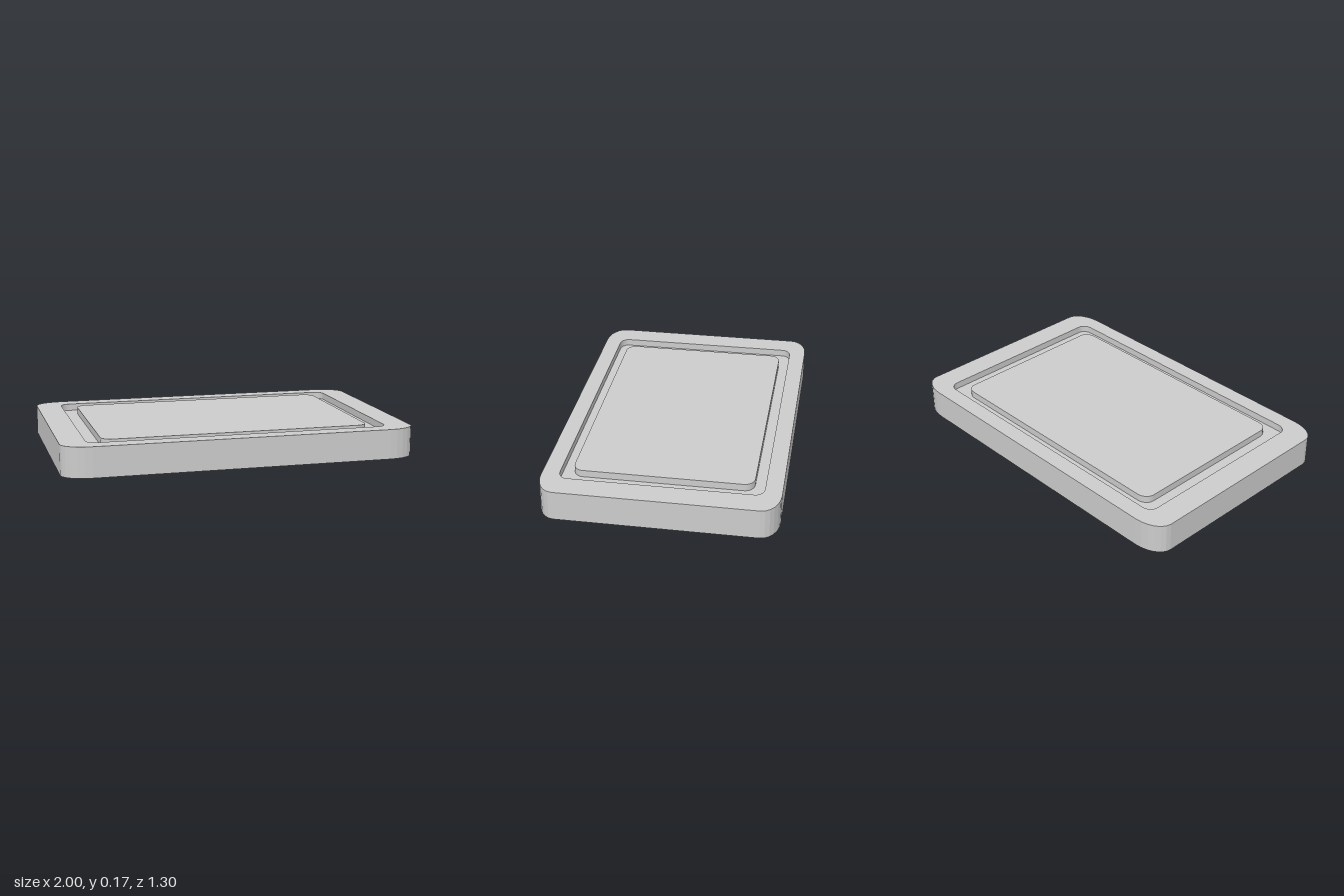
import * as THREE from 'three';

const material = new THREE.MeshStandardMaterial({ color: 0xcccccc, flatShading: true });
const TOP = 0.17, FLOOR = 0.13;

// Counter-clockwise outline of a rectangle with elliptical corners
function outline(hx, hz, rx, rz, steps = 6) {
  const pts = [];
  [[1, 1], [-1, 1], [-1, -1], [1, -1]].forEach(([sx, sz], q) => {
    for (let i = 0; i <= steps; i++) {
      const a = (q + i / steps) * Math.PI / 2;
      pts.push(new THREE.Vector2(sx * (hx - rx) + rx * Math.cos(a), sz * (hz - rz) + rz * Math.sin(a)));
    }
  });
  return pts;
}

// Horizontal face at height y, optionally with a hole
function face(points, y, hole) {
  const shape = new THREE.Shape(points);
  if (hole) shape.holes.push(new THREE.Path(hole));
  return new THREE.ShapeGeometry(shape).rotateX(-Math.PI / 2).translate(0, y, 0);
}

// Vertical wall along an outline, facing outward or inward
function wall(points, y0, y1, inward = false) {
  const pos = [];
  points.forEach((p, i) => {
    const q = points[(i + 1) % points.length];
    const [a, b] = inward ? [q, p] : [p, q];
    pos.push(a.x, y0, -a.y, b.x, y0, -b.y, b.x, y1, -b.y);
    pos.push(a.x, y0, -a.y, b.x, y1, -b.y, a.x, y1, -a.y);
  });
  const g = new THREE.BufferGeometry();
  g.setAttribute('position', new THREE.Float32BufferAttribute(pos, 3));
  g.computeVertexNormals();
  return g;
}

export function createModel() {
  const board = new THREE.Group();
  board.name = 'cuttingBoard';
  const add = (name, geometry) => {
    const mesh = new THREE.Mesh(geometry, material);
    mesh.name = name;
    board.add(mesh);
    return mesh;
  };

  const edge = outline(1, 0.65, 0.16, 0.1);
  const grooveOuter = outline(0.855, 0.555, 0.06, 0.05);
  const grooveInner = outline(0.765, 0.495, 0.065, 0.055);

  // Board body
  add('underside', face(edge, 0).rotateX(Math.PI));
  add('outerEdge', wall(edge, 0, TOP));
  add('rim', face(edge, TOP, grooveOuter));

  // Juice groove
  add('grooveOuterWall', wall(grooveOuter, FLOOR, TOP, true));
  add('grooveFloor', face(grooveOuter, FLOOR, grooveInner));
  add('grooveInnerWall', wall(grooveInner, FLOOR, TOP));

  // Central cutting surface
  add('cuttingSurface', face(grooveInner, TOP));
  return board;
}
